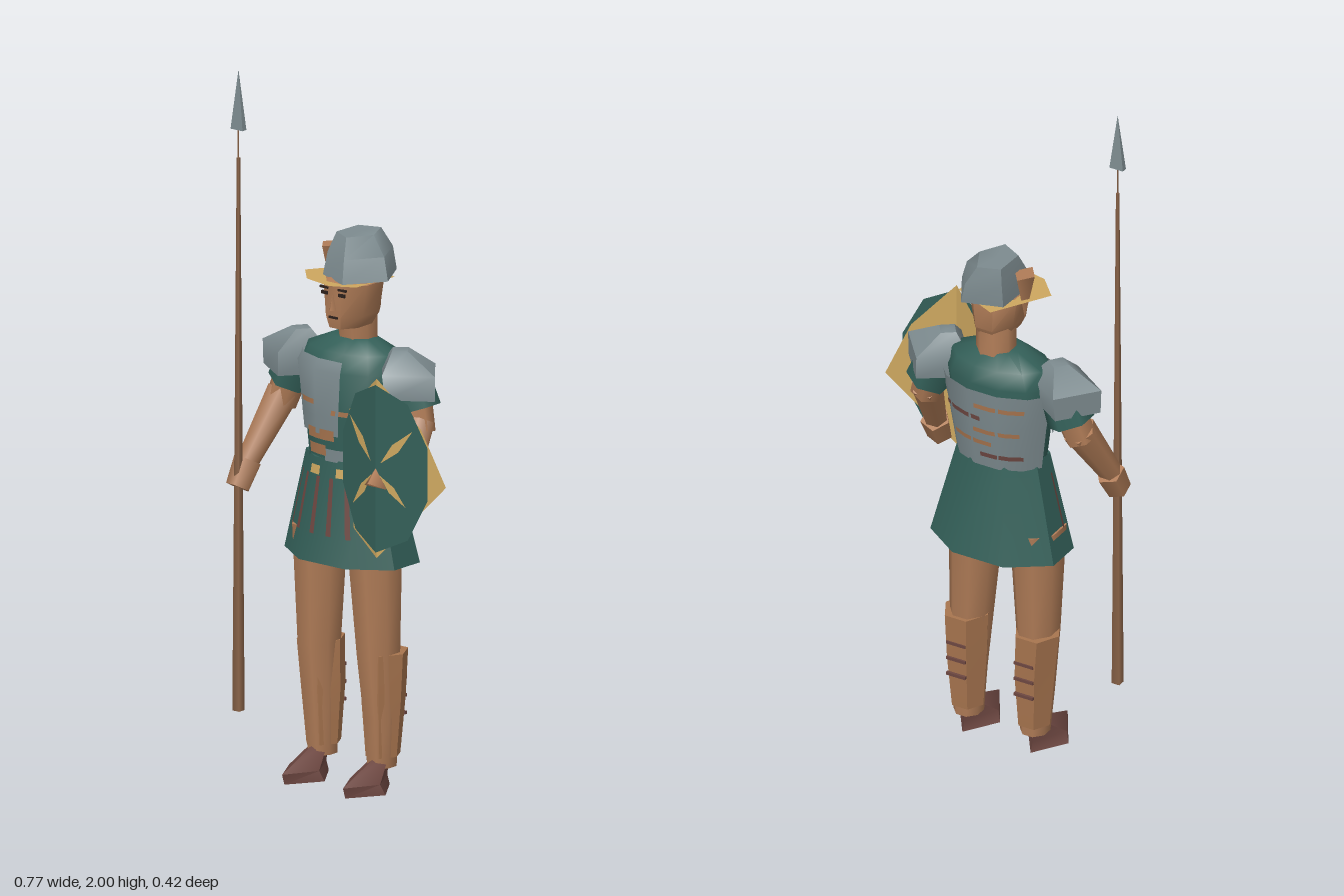
import * as THREE from 'three';
import { toCreasedNormals } from 'three/addons/utils/BufferGeometryUtils.js';

const mat = (name, color, open) => new THREE.MeshStandardMaterial({ name, color, ...(open && { side: THREE.DoubleSide }) });
const skin = mat('skin', 0xb07c57);
const bronze = mat('bronze leg guards', 0xa8754f, true);
const green = mat('green cloth', 0x335f58, true);
const steel = mat('steel', 0x7d8b8f, true);
const gold = mat('gold', 0xcda75f, true);
const leather = mat('leather', 0x6d4741, true);
const wood = mat('wood', 0x8c6549);
const dark = mat('dark', 0x2c201c);

const MID = -0.07; // body centre line in x
const TAU = Math.PI * 2;

// Surface through horizontal rings [y, rx, rz, cx, cz], angle 0 faces the front
function loft(rings, { n = 8, from = Math.PI / n, sweep = TAU, caps = true, fit = true } = {}) {
  const k = fit ? 1 / Math.cos(Math.PI / n) : 1;
  const pos = [];
  const point = ([y, rx, rz, cx, cz], j) => {
    const a = from + sweep * j / n;
    return [cx + rx * k * Math.sin(a), y, cz + rz * k * Math.cos(a)];
  };
  const lo = rings[0], hi = rings[rings.length - 1];
  for (let j = 0; j < n; j++) {
    for (let i = 0; i + 1 < rings.length; i++) {
      const a = point(rings[i], j), b = point(rings[i], j + 1);
      const c = point(rings[i + 1], j + 1), d = point(rings[i + 1], j);
      pos.push(...a, ...b, ...c, ...a, ...c, ...d);
    }
    if (caps) {
      pos.push(lo[3], lo[0], lo[4], ...point(lo, j + 1), ...point(lo, j));
      pos.push(hi[3], hi[0], hi[4], ...point(hi, j), ...point(hi, j + 1));
    }
  }
  const g = new THREE.BufferGeometry();
  g.setAttribute('position', new THREE.Float32BufferAttribute(pos, 3));
  return toCreasedNormals(g, 0.9);
}

// Tapered limb between two points
function limb(a, b, ra, rb, n = 6) {
  const p = new THREE.Vector3(...a), q = new THREE.Vector3(...b), d = q.clone().sub(p);
  const g = new THREE.CylinderGeometry(rb, ra, d.length(), n);
  g.applyQuaternion(new THREE.Quaternion().setFromUnitVectors(new THREE.Vector3(0, 1, 0), d.normalize()));
  return g.translate(...p.add(q).multiplyScalar(0.5).toArray());
}

const TORSO = [
  [0.91, 0.122, 0.085, MID, -0.065], [1.05, 0.14, 0.098, MID, -0.07],
  [1.18, 0.162, 0.102, MID, -0.075], [1.23, 0.14, 0.085, MID, -0.08], [1.265, 0.06, 0.05, MID, -0.08],
];
const SKIRT = [[0.64, 0.195, 0.132, MID, -0.075], [0.93, 0.125, 0.088, MID, -0.065]];

// Ring of a profile at height y, widened by s
function ringAt(rings, y, s) {
  let i = 0;
  while (i < rings.length - 2 && rings[i + 1][0] < y) i++;
  const t = (y - rings[i][0]) / (rings[i + 1][0] - rings[i][0]);
  const r = rings[i].map((v, j) => v + t * (rings[i + 1][j] - v));
  return [y, r[1] * s, r[2] * s, r[3], r[4]];
}
// Thin shell that follows part of a profile
function shell(rings, ys, s, a0, a1, n) {
  const step = (a1 - a0) / n;
  const k = s / Math.cos(step / 2);
  return loft(ys.map(y => ringAt(rings, y, k)), { n, from: a0, sweep: a1 - a0, caps: false, fit: false });
}

export function createModel() {
  const root = new THREE.Group();
  root.name = 'spearman';
  const add = (name, geo, material, parent = root) => {
    const m = new THREE.Mesh(geo, material);
    m.name = name;
    parent.add(m);
    return m;
  };

  // Tunic
  add('tunic', loft(TORSO, { n: 12 }), green);
  add('skirt', loft(SKIRT), green);

  // Breast and back plates with seams
  const S = Math.PI / 12;
  add('breastplate', shell(TORSO, [1.0, 1.05, 1.18, 1.21], 1.06, -5 * S, S, 3), steel);
  add('waistPlate', shell(TORSO, [0.925, 0.96], 1.05, -0.1, 0.75, 3), steel);
  add('backplate', shell(TORSO, [0.915, 1.05, 1.165], 1.1, Math.PI - 5 * S, Math.PI + 5 * S, 5), steel);
  [[0.95, 0.35, leather], [0.99, -0.3, bronze], [1.03, 0.25, bronze], [1.07, -0.5, leather], [1.11, 0.3, bronze]]
    .forEach(([y, a, m]) => add('backSeam', shell(TORSO, [y, y + 0.014], 1.13, Math.PI + a - 0.45, Math.PI + a + 0.45, 3), m));
  [[0.985, -0.2, 0.36, 0.03], [0.94, -0.3, 0.25, 0.03], [1.08, -0.5, 0.25, 0.014], [1.06, 0.3, 0.2, 0.014]]
    .forEach(([y, a, w, h]) => add('frontSeam', shell(TORSO, [y, y + h], 1.08, a - w, a + w, 3), bronze));
  for (const a of [-0.3, 0.35]) add('buckle', shell(SKIRT, [0.885, 0.91], 1.1, a - 0.13, a + 0.13, 2), gold);

  // Leather strips lying on the facets of the skirt
  for (const a of [-1.4, -0.95, -0.6, -0.22, 0.1, 0.45, 0.8, 1.4]) {
    const facet = Math.PI / 4;
    const lift = 1.03 / Math.cos(a - Math.round(a / facet) * facet);
    add('skirtStrip', shell(SKIRT, [0.72, 0.88], lift, a - 0.045, a + 0.045, 1), leather);
  }

  // Limbs, mirrored about the body centre line
  for (const s of [-1, 1]) {
    const side = new THREE.Group();
    side.name = s < 0 ? 'rightLimbs' : 'leftLimbs';
    root.add(side);
    const X = d => MID + s * d;
    add('leg', loft([
      [0.06, 0.038, 0.042, X(0.105), -0.075], [0.2, 0.046, 0.052, X(0.107), -0.07],
      [0.38, 0.054, 0.066, X(0.105) - 0.005, -0.067], [0.72, 0.071, 0.084, X(0.096) - 0.014, -0.07],
    ]), skin, side);
    add('legGuard', loft([
      [0.09, 0.042, 0.045, X(0.105), -0.08], [0.25, 0.053, 0.058, X(0.107), -0.08], [0.385, 0.058, 0.063, X(0.112) - 0.005, -0.082],
    ], { n: 6 }), bronze, side);
    for (const y of [0.2, 0.25, 0.3]) {
      const strap = add('legStrap', new THREE.BoxGeometry(0.06, 0.009, 0.008), leather, side);
      strap.position.set(X(0.107), y, -0.14);
    }
    add('shoe', loft([
      [0, 0.064, 0.095, X(0.108), -0.01], [0.03, 0.053, 0.095, X(0.108), 0], [0.095, 0.02, 0.025, X(0.108), -0.08],
    ], { n: 4, from: 0, fit: false }), leather, side);
    const elbow = [X(0.245), 1.03, -0.065], wrist = [X(0.278), 0.87, 0.045];
    add('upperArm', limb([X(0.2), 1.17, -0.085], elbow, 0.052, 0.046), skin, side);
    add('forearm', limb([X(0.24), 1.06, -0.07], wrist, 0.048, 0.032), skin, side);
    add('hand', limb([X(0.276), 0.88, 0.035], [X(0.282), 0.81, 0.072], 0.042, 0.036, 5), skin, side);
    add('sleeve', limb([X(0.195), 1.17, -0.085], [X(0.225), 1.09, -0.085], 0.06, 0.066), green, side);
    add('shoulderPlate', loft([
      [1.13, 0.1, 0.09, X(0.205), -0.075], [1.2, 0.107, 0.096, X(0.2), -0.075], [1.255, 0.03, 0.03, X(0.175), -0.07],
    ], { n: 4, from: -s * 0.15, fit: false }), steel, side);
  }

  // Head and face
  const head = new THREE.Group();
  head.name = 'head';
  root.add(head);
  add('neck', loft([[1.22, 0.052, 0.05, -0.06, -0.09], [1.36, 0.05, 0.055, -0.055, -0.08]]), skin, head);
  add('skull', loft([
    [1.305, 0.046, 0.073, -0.052, -0.052], [1.34, 0.063, 0.086, -0.052, -0.058],
    [1.43, 0.077, 0.089, -0.052, -0.059], [1.445, 0.06, 0.07, -0.052, -0.075],
  ]), skin, head);
  const plate = (name, w, h, x, y, z) => add(name, new THREE.BoxGeometry(w, h, 0.006), dark, head).position.set(x, y, z);
  for (const s of [-1, 1]) {
    plate('eye', 0.022, 0.009, -0.05 + s * 0.03, 1.405, 0.03);
    plate('brow', 0.028, 0.006, -0.05 + s * 0.032, 1.42, 0.03);
    const ear = add('cheekPiece', new THREE.ConeGeometry(0.042, 0.14, 4), skin, head);
    ear.scale.x = 0.75;
    ear.rotation.z = Math.PI;
    ear.position.set(-0.08 + s * 0.062, 1.41 - s * 0.03, -0.075);
  }
  plate('mouth', 0.03, 0.006, -0.05, 1.338, 0.029);
  add('nose', new THREE.ConeGeometry(0.012, 0.05, 4), skin, head).position.set(-0.05, 1.385, 0.032);

  // Angular helmet over a flat brim
  add('helmet', loft([
    [1.437, 0.1, 0.116, -0.042, -0.08], [1.5, 0.086, 0.105, -0.05, -0.09], [1.552, 0.055, 0.075, -0.066, -0.1],
  ], { n: 5, from: 0.26, fit: false }), steel, head);
  const brimOutline = [[-0.2, -0.03], [-0.14, 0.035], [-0.045, 0.055], [0.022, 0.02], [0.035, -0.13], [-0.1, -0.19]];
  const brim = new THREE.Shape(brimOutline.map(([x, z]) => new THREE.Vector2(x, z)));
  add('helmetBrim', new THREE.ShapeGeometry(brim).rotateX(Math.PI / 2), gold, head).position.y = 1.434;

  // Shield folded along its vertical centre line
  const shield = new THREE.Group();
  shield.name = 'shield';
  shield.position.set(0.21, 0.985, 0.163);
  root.add(shield);
  const fold = (geo, k, dz) => {
    const p = geo.attributes.position;
    for (let i = 0; i < p.count; i++) p.setZ(i, dz - k * Math.abs(p.getX(i)));
    geo.computeVertexNormals();
    return toCreasedNormals(geo, 0.3);
  };
  add('shieldFace', fold(new THREE.CircleGeometry(1, 10, Math.PI / 2).scale(0.158, 0.238, 1), 0.28, 0), green, shield);
  const back = new THREE.CircleGeometry(1, 6, Math.PI / 2).scale(0.175, 0.255, 1);
  back.attributes.position.setXY(3, -0.128, -0.205);
  back.attributes.position.setXY(5, 0.18, -0.04);
  back.attributes.position.setXY(6, 0.115, 0.12);
  add('shieldBack', fold(back, 0.44, -0.005), gold, shield);
  for (const [x, y] of [[-0.115, 0.13], [0.11, 0.12], [-0.1, -0.12], [0.09, -0.1]]) {
    const ray = new THREE.Shape([[0.15, 0.15], [0.62, 0.46], [1, 1], [0.46, 0.62]].map(([u, v]) => new THREE.Vector2(x * u, y * v)));
    add('shieldRay', fold(new THREE.ShapeGeometry(ray), 0.28, 0.005), gold, shield);
  }
  const bossShape = new THREE.ConeGeometry(0.045, 0.035, 3).rotateX(Math.PI / 2).rotateZ(Math.PI);
  const boss = add('shieldBoss', bossShape, skin, shield);
  boss.scale.y = 0.8;
  boss.position.set(0.01, -0.03, 0.029);

  // Spear
  const spear = new THREE.Group();
  spear.name = 'spear';
  spear.position.set(-0.345, 0, 0.08);
  root.add(spear);
  const shaft = add('shaft', new THREE.CylinderGeometry(0.005, 0.017, 1.57, 4), wood, spear);
  shaft.rotation.y = Math.PI / 4;
  shaft.position.y = 0.965;
  add('shaftTip', new THREE.BoxGeometry(0.002, 0.1, 0.004), wood, spear).position.y = 1.79;
  const blade = new THREE.ConeGeometry(0.03, 0.17, 4).rotateY(Math.PI / 4).scale(1, 1, 0.4);
  add('spearhead', toCreasedNormals(blade, 0.5), steel, spear).position.y = 1.915;
  return root;
}
